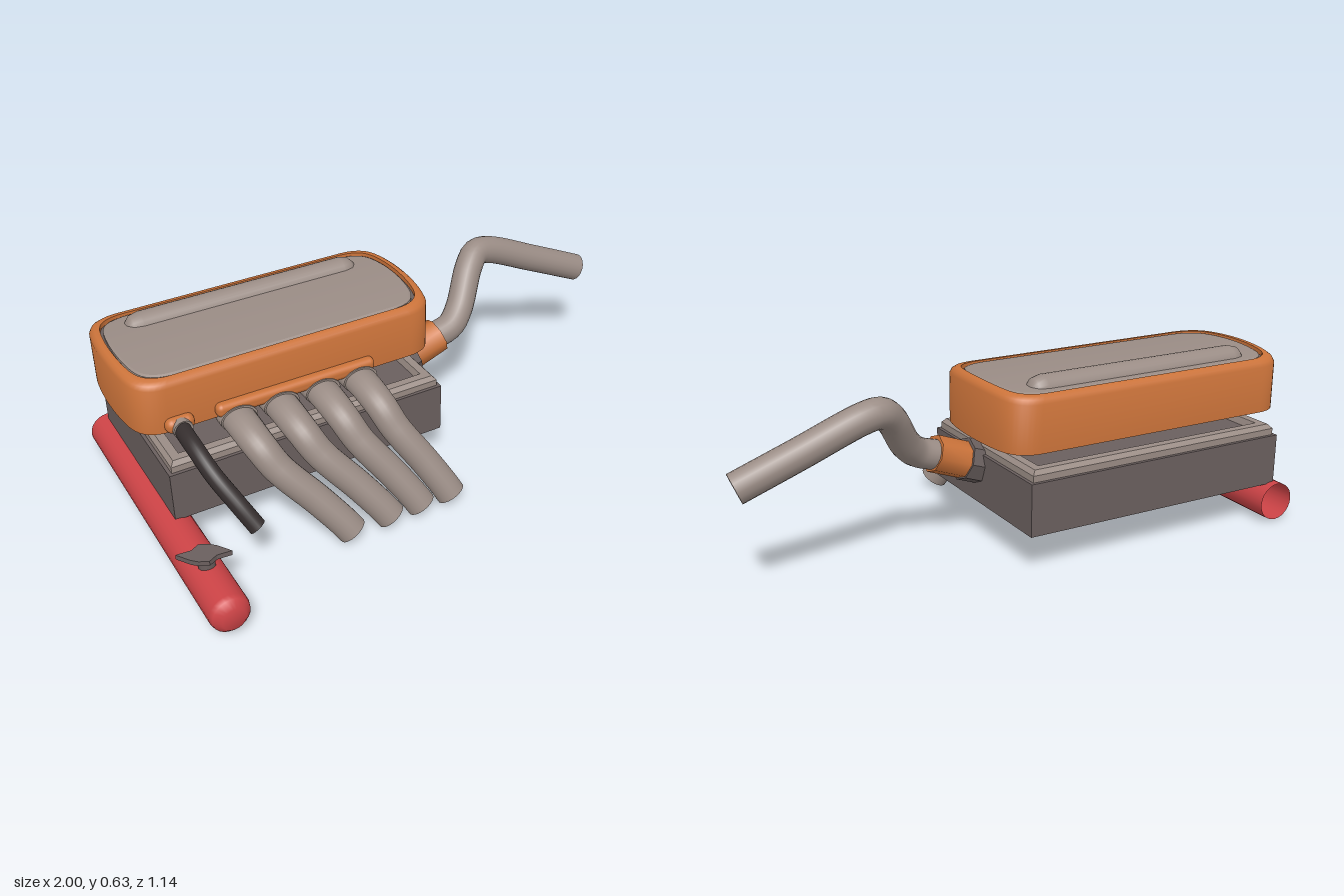
import * as THREE from 'three';
import { toCreasedNormals } from 'three/addons/utils/BufferGeometryUtils.js';
import { RoundedBoxGeometry } from 'three/addons/geometries/RoundedBoxGeometry.js';

const mat = (name, color, side = THREE.FrontSide) =>
  Object.assign(new THREE.MeshStandardMaterial({ color, side }), { name });

// Body plan: long straight sides, slightly bulged ends, rounded corners
const A = 0.572, B = 0.255, STEPS = 32;
const halfWidth = (s, inset) => A - inset - 0.03 * s * s - 0.09 * (1 - Math.sqrt(Math.max(0, 1 - s ** 8)));
const crown = (y, z) => (y > 0.5 ? y - 0.015 * (z / B) ** 2 : y);

function bodyOutline(inset) {
  const right = [];
  for (let i = 0; i <= STEPS; i++) {
    const s = Math.sin((i / STEPS - 0.5) * Math.PI);
    right.push([halfWidth(s, inset), (B - inset) * s]);
  }
  return [...right, ...right.map(([x, z]) => [-x, z]).reverse()];
}

const boxOutline = (inset) => {
  const x = 0.51 - inset, z = 0.33 - inset;
  return [[x, -z], [x, z], [-x, z], [-x, -z]];
};

// Skin between rings given as [inset, y]
function loft(outline, rings, crease) {
  const pos = [], index = [], n = outline(0).length;
  rings.forEach(([inset, y]) => outline(inset).forEach(([x, z]) => pos.push(x, crown(y, z), z)));
  for (let r = 0; r < rings.length - 1; r++) {
    for (let i = 0; i < n; i++) {
      const a = r * n + i, b = r * n + (i + 1) % n;
      index.push(a, a + n, b, b, a + n, b + n);
    }
  }
  const g = new THREE.BufferGeometry();
  g.setAttribute('position', new THREE.Float32BufferAttribute(pos, 3));
  g.setIndex(index);
  return toCreasedNormals(g, crease);
}

// Filled sheet following the body plan
function sheet(inset, y) {
  const g = new THREE.PlaneGeometry(1, 1, 8, STEPS).rotateX(-Math.PI / 2);
  const p = g.attributes.position;
  for (let i = 0; i < p.count; i++) {
    const s = Math.sin(p.getZ(i) * Math.PI), z = (B - inset) * s;
    p.setXYZ(i, 2 * p.getX(i) * halfWidth(s, inset), crown(y, z), z);
  }
  g.computeVertexNormals();
  return g;
}

// Open bent pipe; oval(t) gives the width and height factors along it
function bentPipe(pts, r, oval = () => [1, 1]) {
  const curve = new THREE.CatmullRomCurve3(pts.map((p) => new THREE.Vector3(...p)), false, 'centripetal');
  const g = new THREE.TubeGeometry(curve, 48, r, 20), p = g.attributes.position;
  for (let i = 0; i < p.count; i++) {
    const t = Math.floor(i / 21) / 48, c = curve.getPointAt(t), [w, h] = oval(t);
    p.setX(i, c.x + (p.getX(i) - c.x) * w);
    p.setY(i, c.y + (p.getY(i) - c.y) * h);
  }
  return g;
}

export function createModel() {
  const model = new THREE.Group();
  const orange = mat('orange paint', 0xcb733a, THREE.DoubleSide);
  const steel = mat('warm grey steel', 0x9a8c85, THREE.DoubleSide);
  const iron = mat('dark grey iron', 0x6a5f5e, THREE.DoubleSide);
  const red = mat('red paint', 0xcc4346, THREE.DoubleSide);
  const rubber = mat('black rubber', 0x352e2e, THREE.DoubleSide);

  const add = (name, geo, material, x = 0, y = 0, z = 0, parent = model) => {
    const m = new THREE.Mesh(geo, material);
    m.name = name;
    m.position.set(x, y, z);
    parent.add(m);
    return m;
  };

  // Cylinder along an arbitrary direction
  const rod = (name, r, from, to, material, sides, crease = 0.6) => {
    const a = new THREE.Vector3(...from), b = new THREE.Vector3(...to), d = b.clone().sub(a);
    const m = add(name, toCreasedNormals(new THREE.CylinderGeometry(r, r, d.length(), sides), crease), material);
    m.position.copy(a).add(b).multiplyScalar(0.5);
    m.quaternion.setFromUnitVectors(new THREE.Vector3(0, 1, 0), d.normalize());
    return m;
  };

  // Upper housing with crowned lid
  const housing = new THREE.Group();
  housing.name = 'housing';
  housing.position.set(-0.41, 0, -0.25);
  model.add(housing);
  add('housingShell', loft(bodyOutline, [[0.03, 0.46], [0.03, 0.395], [0, 0.395], [0, 0.575], [0.006, 0.589],
    [0.016, 0.597], [0.032, 0.597], [0.032, 0.575]], 0.7), orange, 0, 0, 0, housing);
  add('lidGap', sheet(0.031, 0.58), iron, 0, 0, 0, housing);
  add('housingFloor', sheet(0.03, 0.45), iron, 0, 0, 0, housing);
  add('lidEdge', loft(bodyOutline, [[0.041, 0.575], [0.041, 0.59], [0.048, 0.594]], 0.7), steel, 0, 0, 0, housing);
  add('lid', sheet(0.048, 0.594), steel, 0, 0, 0, housing);
  const ridge = [[0, -0.44], [0.022, -0.437], [0.042, -0.418], [0.05, -0.385], [0.05, 0.385], [0.042, 0.418], [0.022, 0.437], [0, 0.44]];
  add('lidRidge', new THREE.LatheGeometry(ridge.map((p) => new THREE.Vector2(...p)), 24).rotateZ(Math.PI / 2),
    steel, 0, 0.572, -0.14, housing);

  // Lower block, open underneath
  const block = new THREE.Group();
  block.name = 'block';
  block.position.set(-0.41, 0, -0.21);
  model.add(block);
  add('blockWalls', loft(boxOutline, [[0.03, 0.32], [0.03, 0.13], [0, 0.13], [0, 0.312], [0.03, 0.312]], 0.3), iron, 0, 0, 0, block);
  add('blockLip', loft(boxOutline, [[0.012, 0.312], [0.012, 0.335], [0.025, 0.35], [0.055, 0.35], [0.062, 0.322]], 0.3), steel, 0, 0, 0, block);
  add('blockDeck', new THREE.BoxGeometry(0.96, 0.008, 0.6), iron, 0, 0.32, 0, block);

  // Front flange and four swept pipes, oval at the flange and round at the tip
  add('pipeFlange', new RoundedBoxGeometry(0.59, 0.05, 0.06, 3, 0.02), orange, -0.41, 0.425, 0.005);
  const flatten = (t) => {
    const k = Math.max(0, 1 - 2 * t);
    return [1 + 0.18 * k, 1 - 0.2 * k];
  };
  [[-0.635, 0.245], [-0.48, 0.24], [-0.325, 0.205], [-0.18, 0.18]].forEach(([x, dx], i) => {
    add('sweptPipe' + (i + 1), bentPipe([[x, 0.385, -0.02], [x, 0.38, 0.09], [x + dx * 0.05, 0.35, 0.165],
      [x + dx * 0.2, 0.28, 0.215], [x + dx * 0.62, 0.155, 0.285], [x + dx * 0.9, 0.065, 0.332], [x + dx, 0.028, 0.35]],
    0.052, flatten), steel);
    rod('pipeCollar' + (i + 1), 0.066, [x, 0.388, -0.01], [x, 0.388, 0.04], steel, 20).scale.z = 0.7;
    rod('deckBolt' + (i + 1), 0.036, [x, 0.285, 0], [x, 0.32, 0], iron, 10);
  });

  // Black flattened hose and its mount
  add('hoseMount', new RoundedBoxGeometry(0.1, 0.055, 0.06, 3, 0.025), orange, -0.83, 0.422, 0.005);
  rod('hoseCollar', 0.034, [-0.83, 0.415, 0.02], [-0.83, 0.415, 0.045], steel, 16);
  add('hose', bentPipe([[-0.83, 0.41, -0.01], [-0.83, 0.4, 0.13], [-0.81, 0.345, 0.225], [-0.77, 0.27, 0.3], [-0.73, 0.195, 0.355]],
    0.036, () => [0.78, 1]), rubber);

  // Side outlet: faceted flange, orange collar, cranked pipe
  rod('outletFlange', 0.076, [0.07, 0.262, -0.16], [0.145, 0.289, -0.16], iron, 8);
  rod('outletCollar', 0.066, [0.13, 0.28, -0.162], [0.26, 0.328, -0.162], orange, 8, 1);
  add('outletPipe', bentPipe([[0.24, 0.32, -0.165], [0.32, 0.345, -0.168], [0.375, 0.39, -0.195], [0.46, 0.51, -0.265],
    [0.51, 0.546, -0.295], [0.57, 0.54, -0.303], [0.78, 0.454, -0.287], [0.98, 0.37, -0.265]], 0.052), steel);

  // Red rail, rounded at the front and open at the back
  const rail = [[0.068, -0.57], [0.068, 0.53], [0.063, 0.548], [0.04, 0.57], [0, 0.57]].map((p) => new THREE.Vector2(...p));
  add('rail', new THREE.LatheGeometry(rail, 24).rotateX(Math.PI / 2), red, -0.915, 0.068, 0);

  // Wing nut on the rail
  add('nutStem', new THREE.CylinderGeometry(0.028, 0.028, 0.05, 12), iron, -0.915, 0.15, 0.37);
  const wing = new THREE.Shape();
  wing.moveTo(-0.08, 0.035);
  [[-0.03, 0.03], [0, 0.045], [0.03, 0.03], [0.05, 0.01], [0.08, -0.035], [0.03, -0.03], [0, -0.045], [-0.03, -0.03], [-0.05, -0.01]]
    .forEach(([x, y]) => wing.lineTo(x, y));
  add('nutWings', new THREE.ExtrudeGeometry(wing, { depth: 0.018, bevelEnabled: false }).rotateX(-Math.PI / 2), iron, -0.92, 0.167, 0.37);

  return model;
}
